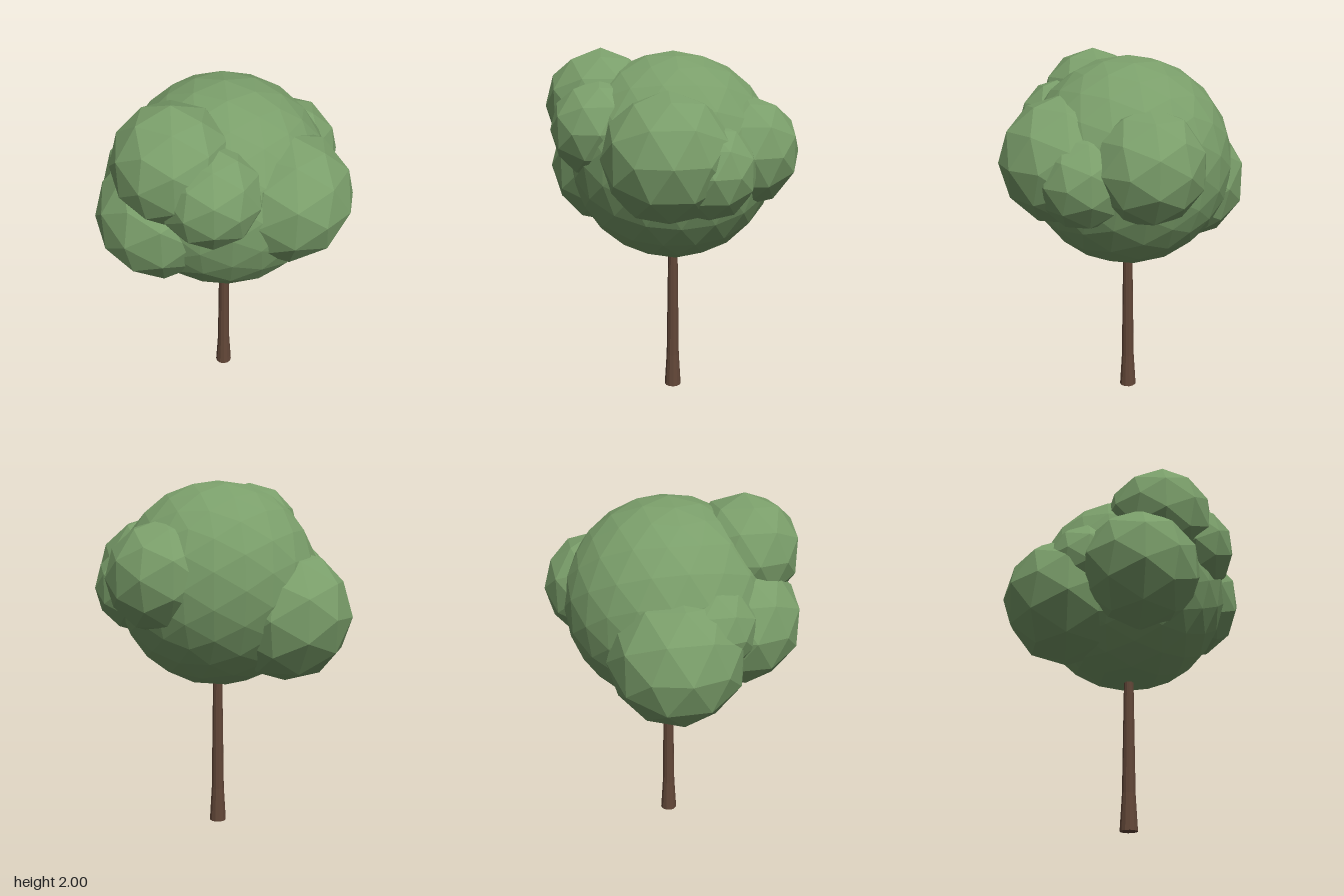
import * as THREE from 'three';

const leafGreen = new THREE.MeshStandardMaterial({ color: 0x7a9e6a, flatShading: true });
leafGreen.name = 'leafGreen';
const barkBrown = new THREE.MeshStandardMaterial({ color: 0x624738, flatShading: true });
barkBrown.name = 'barkBrown';

// Faceted ball of leaves
function leafBall(name, x, y, z, radius, detail) {
  const geometry = new THREE.IcosahedronGeometry(radius, detail);
  geometry.computeVertexNormals();
  const mesh = new THREE.Mesh(geometry, leafGreen);
  mesh.name = name;
  mesh.position.set(x, y, z);
  return mesh;
}

export function createModel() {
  const tree = new THREE.Group();
  tree.name = 'tree';

  // Slim trunk, flared at the foot and running up into the crown
  const profile = [[0, 0], [0.049, 0], [0.037, 0.2], [0.028, 0.84], [0.026, 1.0], [0, 1.0]];
  const trunk = new THREE.Mesh(
    new THREE.LatheGeometry(profile.map(([r, y]) => new THREE.Vector2(r, y)), 12),
    barkBrown
  );
  trunk.name = 'trunk';
  trunk.position.set(0.013, 0, -0.02);
  tree.add(trunk);

  // Large central crown
  const foliage = new THREE.Group();
  foliage.name = 'foliage';
  foliage.add(leafBall('crown', 0.012, 1.411, -0.02, 0.575, 3));

  // Smaller clumps bulging out of the crown: x, y, z, radius
  const clumps = {
    leftClump: [0.405, 1.46, 0.04, 0.346],
    rightClump: [-0.393, 1.252, -0.06, 0.366],
    topFrontClump: [-0.064, 1.69, 0.373, 0.311],
    lowerFrontClump: [-0.18, 1.335, 0.328, 0.347],
    frontLeftClump: [0.147, 1.58, 0.38, 0.267],
    backClump: [0.2, 1.464, -0.381, 0.306],
    backLeftClump: [0.423, 1.395, -0.16, 0.26],
    frontRightClump: [-0.375, 1.39, 0.11, 0.255],
  };
  for (const [name, [x, y, z, r]] of Object.entries(clumps)) {
    foliage.add(leafBall(name, x, y, z, r, 1));
  }
  tree.add(foliage);
  return tree;
}
